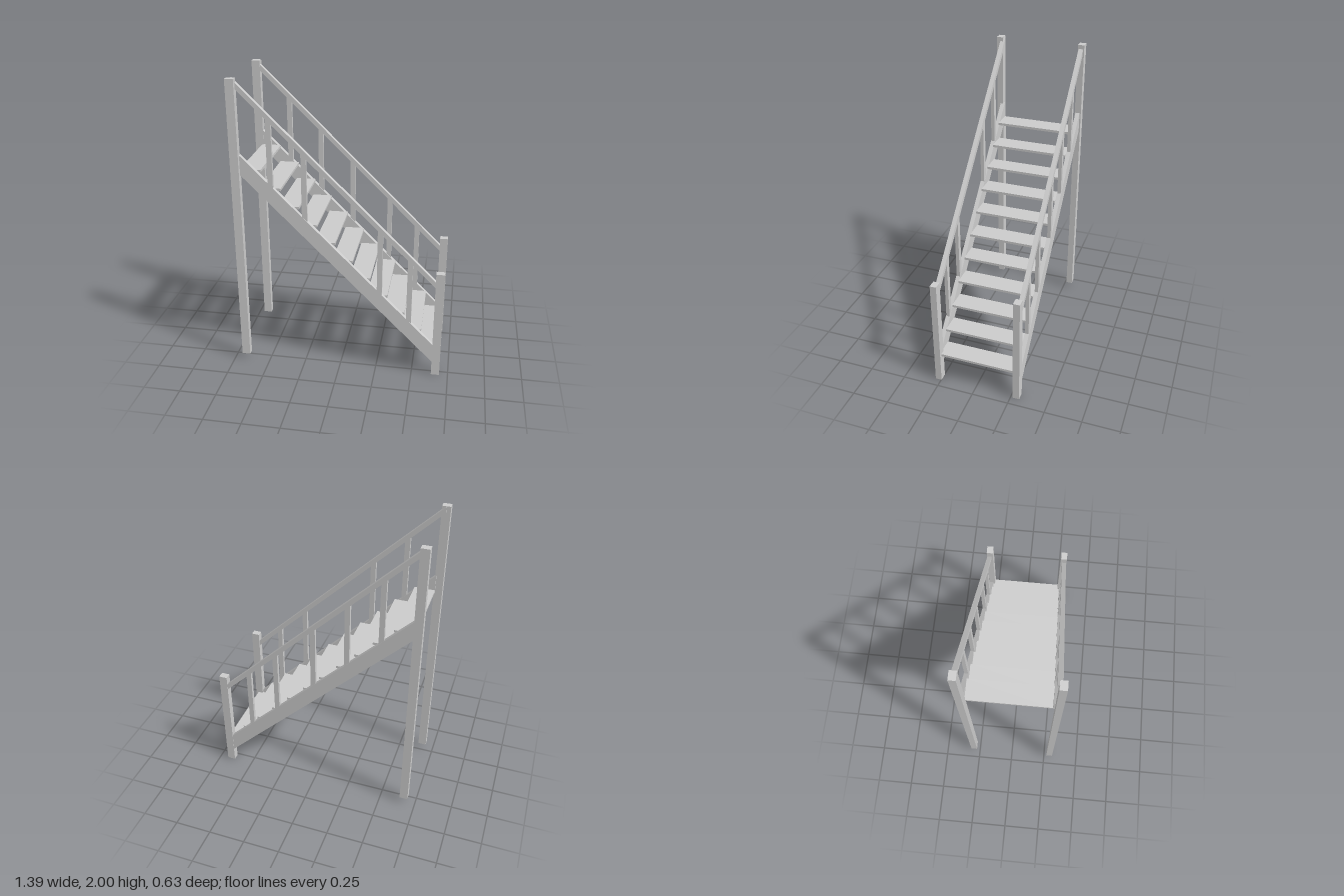
import * as THREE from 'three';

const mat = new THREE.MeshStandardMaterial({ color: 0xcccccc, flatShading: true, side: THREE.DoubleSide });

// Box from its min and max corners
function box(name, x0, x1, y0, y1, z0, z1) {
  const geo = new THREE.BoxGeometry(x1 - x0, y1 - y0, z1 - z0);
  geo.translate((x0 + x1) / 2, (y0 + y1) / 2, (z0 + z1) / 2);
  const mesh = new THREE.Mesh(geo, mat);
  mesh.name = name;
  return mesh;
}

// Sloped upright slab with plumb-cut ends: top and bottom are height functions of x
function slab(name, x0, x1, top, bottom, z0, z1) {
  const shape = new THREE.Shape([
    new THREE.Vector2(x0, bottom(x0)), new THREE.Vector2(x1, bottom(x1)),
    new THREE.Vector2(x1, top(x1)), new THREE.Vector2(x0, top(x0)),
  ]);
  const geo = new THREE.ExtrudeGeometry(shape, { depth: z1 - z0, bevelEnabled: false });
  geo.translate(0, 0, z0);
  const mesh = new THREE.Mesh(geo, mat);
  mesh.name = name;
  return mesh;
}

// Heights of the sloping members
const stringerTop = (x) => 0.87 - x;
const stringerBottom = (x) => 0.737 - x;
const railTop = (x) => 1.341 - 0.985 * x;
const railBottom = (x) => railTop(x) - 0.042;

export function createModel() {
  const model = new THREE.Group();
  model.name = 'staircase';

  // Each side: centre of the sloping members, post depths and baluster positions
  const sides = [
    { name: 'front', z: 0.272, tall: [0.268, 0.312], short: [0.247, 0.29], railStart: -0.67,
      balusters: [-0.447, -0.228, 0.267, 0.467] },
    { name: 'back', z: -0.292, tall: [-0.316, -0.272], short: [-0.31, -0.265], railStart: -0.65,
      balusters: [-0.447, -0.228, 0, 0.267, 0.467] },
  ];

  for (const s of sides) {
    const side = new THREE.Group();
    side.name = s.name + 'Side';
    const z0 = s.z - 0.015, z1 = s.z + 0.015;

    // Tall upper post and short lower post
    side.add(box('upperPost', -0.697, -0.641, 0.04, 2, ...s.tall));
    side.add(box('lowerPost', 0.636, 0.692, 0, 0.773, ...s.short));

    // Stringer and handrail
    side.add(slab('stringer', -0.65, 0.66, stringerTop, stringerBottom, z0, z1));
    side.add(slab('handrail', s.railStart, 0.66, railTop, railBottom, z0, z1));

    // Balusters, cut to the slope at both ends
    for (const x of s.balusters) {
      side.add(slab('baluster', x - 0.017, x + 0.017,
        (px) => railBottom(px) + 0.01, (px) => stringerTop(px) - 0.01, s.z - 0.012, s.z + 0.012));
    }
    model.add(side);
  }

  // Eleven open treads
  const treads = new THREE.Group();
  treads.name = 'treads';
  for (let i = 0; i < 11; i++) {
    const nose = i === 10 ? -0.515 : 0.672 - i * 0.1177;
    const top = 0.212 + i * 0.1198;
    treads.add(box('tread', nose - 0.135, nose, top - 0.017, top, -0.278, 0.258));
  }
  model.add(treads);

  return model;
}
